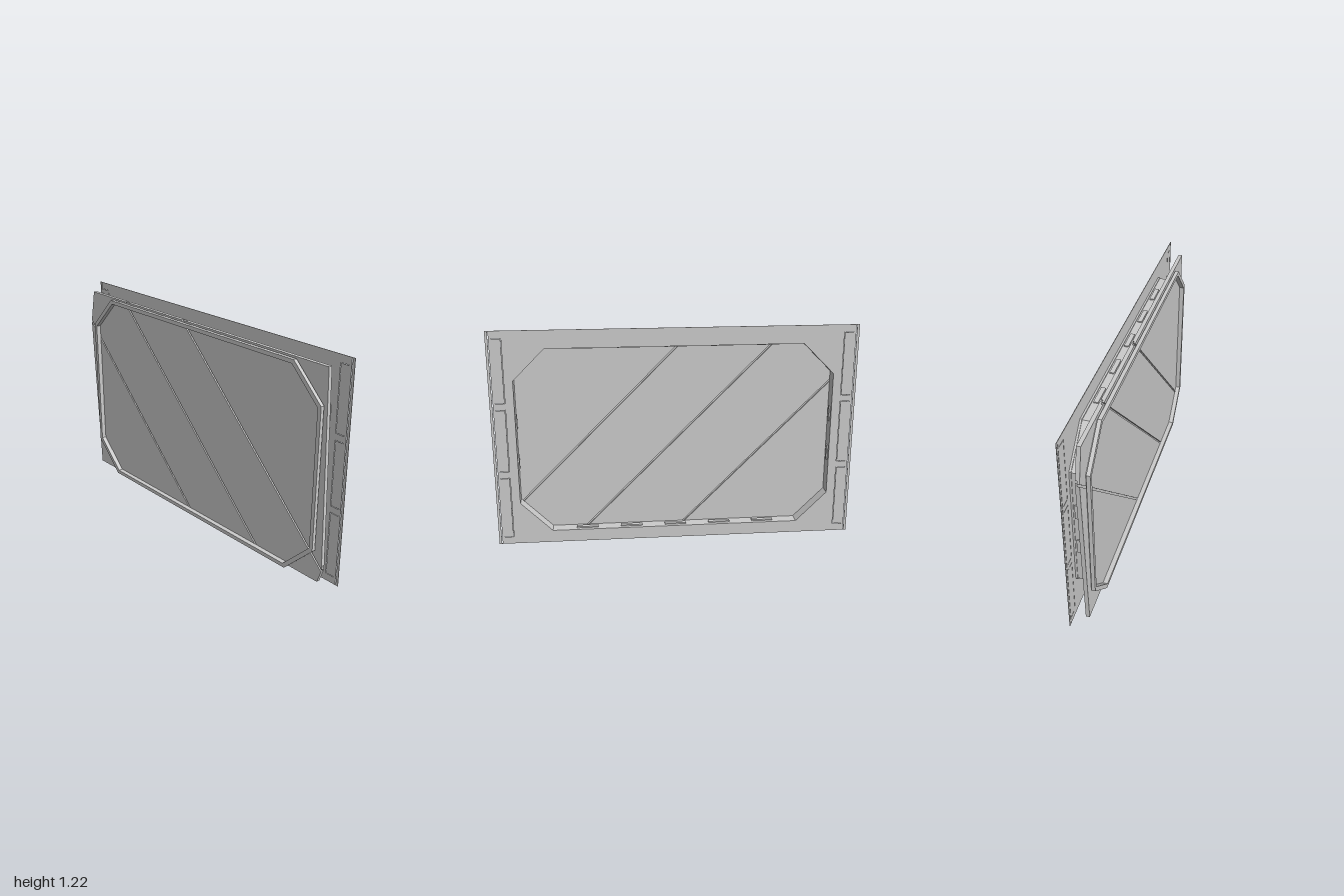
import * as THREE from 'three';

const grey = new THREE.MeshStandardMaterial({ color: 0xcccccc, flatShading: true });

// Octagon corners: half width, bottom, top, corner cut in x and y
function octagon(hx, y0, y1, cx, cy) {
  return [
    [hx, y0 + cy], [hx, y1 - cy], [hx - cx, y1], [cx - hx, y1],
    [-hx, y1 - cy], [-hx, y0 + cy], [cx - hx, y0], [hx - cx, y0],
  ];
}

const rect = (x0, x1, y0, y1) => [[x0, y0], [x1, y0], [x1, y1], [x0, y1]];
const points = (list) => list.map(([x, y]) => new THREE.Vector2(x, y));

// Flat outline with holes, extruded from z0 to z1
function slab(name, outline, holes, z0, z1) {
  const shape = new THREE.Shape(points(outline));
  for (const h of holes) shape.holes.push(new THREE.Path(points(h)));
  const geo = new THREE.ExtrudeGeometry(shape, { depth: z1 - z0, bevelEnabled: false });
  geo.translate(0, 0, z0);
  const mesh = new THREE.Mesh(geo, grey);
  mesh.name = name;
  return mesh;
}

// Keep the part of a polygon where sign * (x + y - c) >= 0
function clip(poly, c, sign) {
  const out = [];
  poly.forEach((a, i) => {
    const b = poly[(i + 1) % poly.length];
    const da = sign * (a[0] + a[1] - c), db = sign * (b[0] + b[1] - c);
    if (da >= 0) out.push(a);
    if (da * db < 0) {
      const t = da / (da - db);
      out.push([a[0] + t * (b[0] - a[0]), a[1] + t * (b[1] - a[1])]);
    }
  });
  return out;
}

export function createModel() {
  const model = new THREE.Group();
  model.name = 'windowPanel';

  // Thin wall plate with the opening and seams along both sides
  const opening = octagon(0.87, 0.07, 1.115, 0.172, 0.172);
  const seams = [];
  for (const s of [-1, 1]) {
    const slit = (a, b, y0, y1) => seams.push(rect(Math.min(s * a, s * b), Math.max(s * a, s * b), y0, y1));
    slit(0.982, 0.986, 0.004, 1.211);
    for (let i = 0; i < 3; i++) {
      const y = 0.04 + i * 0.39;
      slit(0.917, 0.92, y, y + 0.355);
      slit(0.925, 0.97, y, y + 0.003);
      slit(0.925, 0.97, y + 0.352, y + 0.355);
    }
  }
  model.add(slab('wallPlate', rect(-1, 1, 0, 1.215), [opening, ...seams], -0.058, -0.055));

  // Octagonal sleeve between plate and panes, with a shallow recess in its outside
  const sleeve = new THREE.Group();
  sleeve.name = 'sleeve';
  const lip = octagon(0.88, 0.058, 1.127, 0.175, 0.175);
  const core = octagon(0.876, 0.063, 1.122, 0.174, 0.174);
  sleeve.add(
    slab('sleeveBackLip', lip, [opening], -0.055, -0.045),
    slab('sleeveWall', core, [opening], -0.045, -0.004),
    slab('sleeveFrontLip', lip, [opening], -0.004, 0.012),
  );
  model.add(sleeve);

  // Small blocks set through the sleeve walls
  const blocks = new THREE.Group();
  blocks.name = 'sleeveBlocks';
  const addBlock = (w, h, x, y) => {
    const block = new THREE.Mesh(new THREE.BoxGeometry(w, h, 0.024), grey);
    block.position.set(x, y, -0.025);
    block.name = 'sleeveBlock';
    blocks.add(block);
  };
  for (let i = -2; i <= 2; i++) {
    for (const y of [0.067, 1.118]) addBlock(0.122, 0.02, i * 0.252, y);
  }
  for (const s of [-1, 1]) {
    for (const y of [0.477, 0.707]) addBlock(0.02, 0.085, s * 0.873, y);
  }
  model.add(blocks);

  // Irregular sheet cut by diagonal lap joints into four panes
  const sheet = [
    [-0.985, 0.985], [-0.945, 0.035], [0.935, 0.035],
    [0.96, 0.11], [0.925, 1.175], [-0.945, 1.175],
  ];
  const cuts = [-2, 0, 0.55, 1.07, 4];
  const gap = 0.007;
  const layers = [
    { z0: 0.023, z1: 0.034, shift: 0 },
    { z0: 0.013, z1: 0.023, shift: 0.018 },
  ];
  const panes = new THREE.Group();
  panes.name = 'panes';
  for (let i = 0; i < 4; i++) {
    for (const { z0, z1, shift } of layers) {
      const upper = clip(sheet, cuts[i] + shift + gap, 1);
      panes.add(slab('pane', clip(upper, cuts[i + 1] + shift - gap, -1), [], z0, z1));
    }
  }
  model.add(panes);

  // Front frame ring standing on a recessed seal
  const inner = octagon(0.894, 0.052, 1.145, 0.172, 0.172);
  model.add(
    slab('frameSeal', octagon(0.903, 0.043, 1.154, 0.176, 0.176), [inner], 0.034, 0.04),
    slab('frontFrame', octagon(0.915, 0.03, 1.167, 0.182, 0.182), [inner], 0.04, 0.06),
  );
  return model;
}
